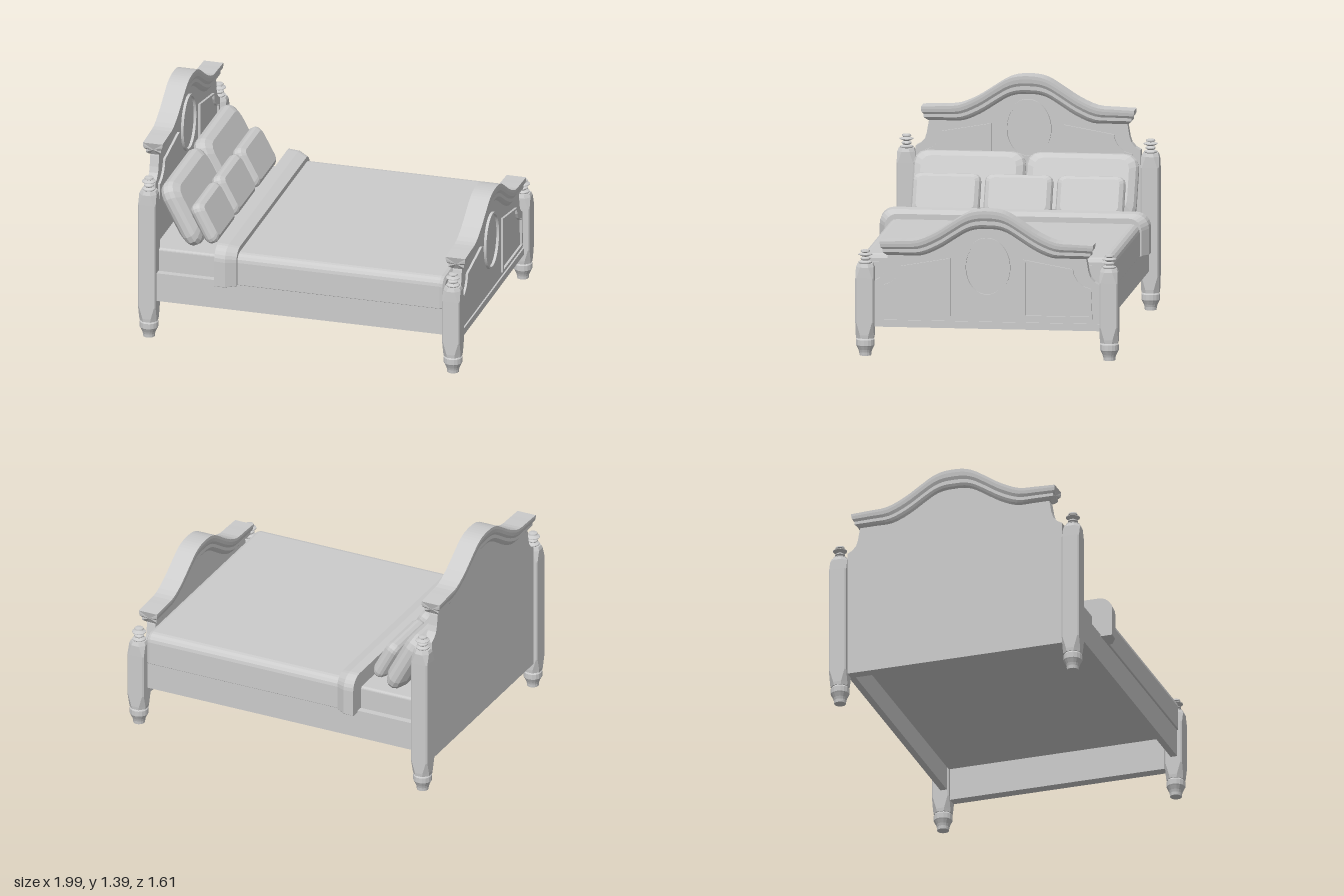
import * as THREE from 'three';

const ZC = -0.02; // middle of the boards and posts
const mat = new THREE.MeshStandardMaterial({ color: 0xcccccc, flatShading: true });
const V = (x, y, z) => new THREE.Vector3(x, y, z);

function add(parent, name, geometry, x = 0, y = 0, z = 0) {
  const mesh = new THREE.Mesh(geometry, mat);
  mesh.name = name;
  mesh.position.set(x, y, z);
  parent.add(mesh);
  return mesh;
}

// Closed solid through rings of equal point count, oriented outward
function loft(rings) {
  const n = rings[0].length, tris = [];
  for (let r = 0; r < rings.length - 1; r++) {
    for (let i = 0; i < n; i++) {
      const j = (i + 1) % n, a = rings[r], b = rings[r + 1];
      tris.push([a[i], a[j], b[j]], [a[i], b[j], b[i]]);
    }
  }
  [rings[0], rings[rings.length - 1]].forEach((ring, end) => {
    const c = V(0, 0, 0);
    ring.forEach(p => c.addScaledVector(p, 1 / n));
    ring.forEach((p, i) => {
      const q = ring[(i + 1) % n];
      tris.push(end ? [c, p, q] : [c, q, p]);
    });
  });
  const o = rings[0][0];
  const volume = tris.reduce((s, [a, b, c]) =>
    s + a.clone().sub(o).dot(b.clone().sub(o).cross(c.clone().sub(o))), 0);
  if (volume < 0) tris.forEach(t => t.reverse());
  const g = new THREE.BufferGeometry().setFromPoints(tris.flat());
  g.computeVertexNormals();
  return g;
}

// Rounded rectangle in the z-y plane at x; top and bottom corner radii differ
function roundRing(x, hz, y0, y1, rTop, rBottom, steps = 4) {
  const pts = [];
  [[1, 1], [-1, 1], [-1, -1], [1, -1]].forEach(([sz, sy], k) => {
    const r = sy > 0 ? rTop : rBottom;
    for (let i = 0; i <= steps; i++) {
      const a = (k + i / steps) * Math.PI / 2;
      pts.push(V(x, (sy > 0 ? y1 - r : y0 + r) + r * Math.sin(a), sz * (hz - r) + r * Math.cos(a)));
    }
  });
  return pts;
}

// Extrude a shape drawn in (z, y) along +x
function extrudeX(shape, depth) {
  return new THREE.ExtrudeGeometry(shape, { depth, bevelEnabled: false, curveSegments: 40 }).rotateY(Math.PI / 2);
}

// Serpentine top line shared by both boards
const half = [[0, 1.39], [0.07, 1.384], [0.13, 1.363], [0.2, 1.32], [0.3, 1.256], [0.41, 1.208], [0.52, 1.2], [0.635, 1.195]];
const L = 0.635;
const topLine = new THREE.SplineCurve([
  ...half.slice(1).reverse().map(([z, y]) => new THREE.Vector2(-z, y)),
  ...half.map(([z, y]) => new THREE.Vector2(z, y)),
]).getPoints(42);

function board(name, x, drop, ovalY) {
  const g = new THREE.Group();
  g.name = name;
  g.position.set(x, 0, ZC);

  // panel body with scooped shoulders
  const side = [[0.67, 0.175], [0.67, 0.955 - drop], [0.64, 0.972 - drop], [0.615, 1.0 - drop], [0.604, 1.035 - drop], [0.593, 1.1 - drop]];
  const outline = [
    ...side.map(([z, y]) => new THREE.Vector2(-z, y)),
    ...topLine.map(p => new THREE.Vector2(p.x * 0.59 / L, p.y - 0.085 - drop)),
    ...side.slice().reverse().map(([z, y]) => new THREE.Vector2(z, y)),
  ];
  add(g, 'panelBody', extrudeX(new THREE.Shape(outline), 0.055), -0.0275);

  // stepped crown moulding swept along the top line
  const steps = [[0.06, 0], [0.06, 0.02], [0.057, 0.044], [0.047, 0.062], [0.047, 0.086], [0.038, 0.1], [0.028, 0.112]];
  const section = [...steps, ...steps.slice().reverse().map(([w, d]) => [-w, d])];
  add(g, 'crownMoulding', loft(topLine.map(p => section.map(([w, d]) =>
    V(w, p.y - drop - d * (1 - 0.25 * Math.abs(p.x) / L), p.x * (L - (0.06 - Math.abs(w)) * 1.2) / L)))));

  // oval medallion ring
  const oval = new THREE.Shape().absellipse(0, 0, 0.139, 0.176, 0, Math.PI * 2);
  oval.holes.push(new THREE.Path().absellipse(0, 0, 0.125, 0.162, 0, Math.PI * 2));
  add(g, 'ovalRing', extrudeX(oval, 0.02), 0.024, ovalY, 0);

  // side panel frames with a notched outer corner
  const notch = [[0.216, 0.245], [0.628, 0.245], [0.62, 0.425], [0.575, 0.44], [0.54, 0.47], [0.52, 0.505], [0.512, 0.54], [0.216, 0.592]];
  const lift = 0.508 - drop;
  for (const s of [-1, 1]) {
    const frame = new THREE.Shape(notch.map(([z, y]) => new THREE.Vector2(s * z, y + lift)));
    frame.holes.push(new THREE.Path(notch.map(([z, y]) =>
      new THREE.Vector2(s * (0.42 + (z - 0.42) * 0.935), 0.41 + (y - 0.41) * 0.92 + lift))));
    add(g, 'panelFrame', extrudeX(frame, 0.018), 0.024);
  }

  add(g, 'baseRail', new THREE.BoxGeometry(0.05, 0.042, 1.34), 0.0125, 0.196, 0);
  return g;
}

// Square post with cone-cut ends, turned foot and finial
function post(x, z, top) {
  const g = new THREE.Group();
  g.name = 'post';
  g.position.set(x, 0, z);
  const ring = (y, h, c) => [[h, h - c], [h - c, h], [c - h, h], [-h, h - c], [-h, c - h], [c - h, -h], [h - c, -h], [h, c - h]]
    .map(([a, b]) => V(a, y, b));
  add(g, 'shaft', loft([
    ring(0.105, 0.052, 0.03), ring(0.125, 0.054, 0.029), ring(0.2, 0.054, 0.008),
    ring(top - 0.085, 0.054, 0.008), ring(top - 0.02, 0.053, 0.029), ring(top, 0.045, 0.026),
  ]));
  const lathe = pts => new THREE.LatheGeometry(pts.map(([r, y]) => new THREE.Vector2(r, y)), 16);
  add(g, 'foot', lathe([[0, 0], [0.035, 0], [0.037, 0.02], [0.042, 0.035], [0.052, 0.055], [0.056, 0.062], [0.056, 0.095], [0.047, 0.107], [0, 0.107]]));
  add(g, 'finial', lathe([[0.03, -0.005], [0.04, 0.004], [0.04, 0.01], [0.02, 0.018], [0.03, 0.026], [0.03, 0.032],
    [0.016, 0.04], [0.042, 0.052], [0.042, 0.056], [0.018, 0.064], [0.028, 0.07], [0.026, 0.079], [0, 0.083]]), 0, top, 0);
  return g;
}

// Puffy cushion leaning back toward the headboard
function cushion(name, x, y, z, width, height, thick, radius, inset) {
  const levels = [[-0.5, 1], [-0.3, 0.25], [-0.12, 0], [0.12, 0], [0.3, 0.25], [0.5, 1]];
  const geo = loft(levels.map(([t, k]) => {
    const i = inset * k, r = radius - i * 0.4;
    return roundRing(t * thick, width / 2 - i, -height / 2 + i, height / 2 - i, r, r, 3);
  }));
  const m = new THREE.Mesh(geo, mat);
  m.name = name;
  m.position.set(x, y, z);
  m.rotation.z = 0.49;
  return m;
}

export function createModel() {
  const bed = new THREE.Group();
  bed.name = 'bed';

  bed.add(board('headboard', -0.94, 0, 1.073));
  bed.add(board('footboard', 0.925, 0.507, 0.543));
  for (const s of [-1, 1]) {
    bed.add(post(-0.935, ZC + s * 0.727, 0.94));
    bed.add(post(0.938, ZC + s * 0.727, 0.55));
    add(bed, 'sideRail', new THREE.BoxGeometry(1.8, 0.178, 0.04), 0, 0.328, -0.006 + s * 0.719);
  }

  // mattress, set high between the rails
  add(bed, 'mattress', loft([-0.915, 0.9].map(x => roundRing(x, 0.69, 0.375, 0.555, 0.015, 0.004))), 0, 0, -0.01);

  // blanket, rounded over its sides and foot end
  add(bed, 'blanket', loft([
    roundRing(-0.42, 0.75, 0.407, 0.6, 0.05, 0.004), roundRing(0.865, 0.75, 0.407, 0.6, 0.05, 0.004),
    roundRing(0.882, 0.745, 0.407, 0.594, 0.05, 0.004), roundRing(0.893, 0.732, 0.407, 0.575, 0.045, 0.004),
  ]), 0, 0, -0.005);

  // turned-down fold
  add(bed, 'blanketFold', loft([
    roundRing(-0.505, 0.805, 0.407, 0.655, 0.085, 0.004, 6), roundRing(-0.44, 0.802, 0.407, 0.651, 0.085, 0.004, 6),
    roundRing(-0.38, 0.765, 0.407, 0.632, 0.075, 0.004, 6),
  ]));

  // two large pillows and three small cushions
  for (const s of [-1, 1]) bed.add(cushion('pillow', -0.768, 0.75, ZC + s * 0.336, 0.67, 0.42, 0.128, 0.08, 0.05));
  for (const s of [-1, 0, 1]) bed.add(cushion('smallCushion', -0.623, 0.712, s * 0.43, 0.405, 0.262, 0.092, 0.04, 0.03));

  return bed;
}
